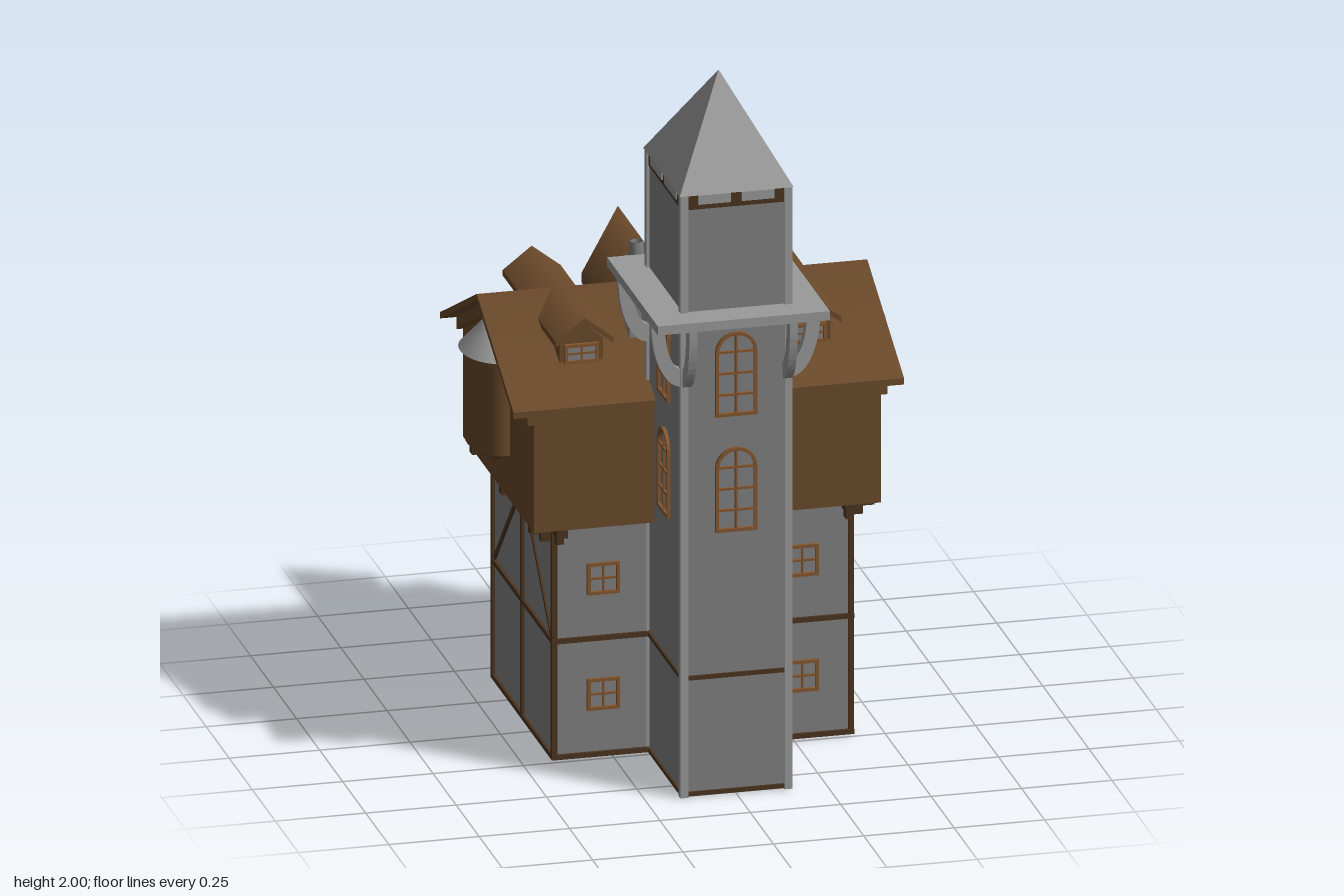
import * as THREE from 'three';

const paint = (color, flatShading = true) => new THREE.MeshStandardMaterial({ color, flatShading });
const stone = paint(0x818181);
const trim = paint(0x9a9a9a);
const smoothTrim = paint(0x9a9a9a, false);
const brown = paint(0x6b4a2b);
const smoothBrown = paint(0x6b4a2b, false);
const frameBrown = paint(0x85572f);
const timber = paint(0x4c3520);

const HZ = -0.1; // depth of the main ridge

export function createModel() {
  const root = new THREE.Group();

  const add = (name, geo, mat, parent = root) => {
    const m = new THREE.Mesh(geo, mat);
    m.name = name;
    parent.add(m);
    return m;
  };
  const box = (name, mat, x0, x1, y0, y1, z0, z1, parent = root) => {
    const m = add(name, new THREE.BoxGeometry(Math.abs(x1 - x0), y1 - y0, Math.abs(z1 - z0)), mat, parent);
    m.position.set((x0 + x1) / 2, (y0 + y1) / 2, (z0 + z1) / 2);
    return m;
  };
  // Square timber between two points
  const beam = (name, a, b, t) => {
    const p = new THREE.Vector3(...a), q = new THREE.Vector3(...b);
    const m = add(name, new THREE.BoxGeometry(t, t, p.distanceTo(q)), timber);
    m.position.copy(p).lerp(q, 0.5);
    m.lookAt(q);
  };
  // Outline in x,y pushed out along z, centred on its depth
  const prism = (name, pts, depth, mat, holes = []) => {
    const s = new THREE.Shape(pts.map(p => new THREE.Vector2(...p)));
    holes.forEach(h => s.holes.push(new THREE.Path(h.map(p => new THREE.Vector2(...p)))));
    const g = new THREE.ExtrudeGeometry(s, { depth, bevelEnabled: false }).translate(0, 0, -depth / 2);
    return add(name, g, mat);
  };
  const chevron = (w, eave, ridge, t) =>
    [[-w, eave], [-w, eave - t], [0, ridge - t], [w, eave - t], [w, eave], [0, ridge]];
  const gable = (w, base, eave, ridge) => [[-w, base], [w, base], [w, eave], [0, ridge], [-w, eave]];

  // Pitched roof whose shading rolls softly over the ridge
  const pitchedRoof = (name, w, eave, ridge, t, depth) => {
    const m = prism(name, chevron(w, eave, ridge, t), depth, smoothBrown);
    const { position, normal } = m.geometry.attributes;
    for (let i = 0; i < position.count; i++) {
      if (Math.abs(position.getX(i)) < 1e-5 && Math.abs(normal.getZ(i)) < 0.5) {
        normal.setXYZ(i, 0, Math.sign(normal.getY(i)), 0);
      }
    }
    return m;
  };

  // Window frame with glazing bars; arched when arch is true
  const windowFrame = (name, w, h, x, y, z, turn, rows, arch = false) => {
    const outline = inset => {
      const a = w / 2 - inset, pts = [[-a, -h / 2 + inset], [a, -h / 2 + inset]];
      if (!arch) return [...pts, [a, h / 2 - inset], [-a, h / 2 - inset]];
      for (let i = 0; i <= 12; i++) {
        const t = Math.PI * i / 12;
        pts.push([a * Math.cos(t), h / 2 - w / 2 + a * Math.sin(t)]);
      }
      return pts;
    };
    const rim = 0.009, frame = prism(name, outline(0), 0.014, frameBrown, [outline(rim)]);
    frame.position.set(x, y, z);
    frame.rotation.y = turn;
    box('glazingBar', frameBrown, -0.003, 0.003, -h / 2 + rim, h / 2 - rim, -0.004, 0.004, frame);
    const straight = arch ? h - w / 2 : h;
    for (let i = 1; i < rows; i++) {
      const by = -h / 2 + straight * i / (arch ? rows - 1 : rows);
      box('glazingBar', frameBrown, -w / 2 + rim, w / 2 - rim, by - 0.003, by + 0.003, -0.004, 0.004, frame);
    }
    return frame;
  };

  // Stone lower house and rear bay
  box('lowerHouse', stone, -0.41, 0.41, 0, 0.68, -0.42, 0.23);
  box('rearBay', stone, -0.075, 0.075, 0, 0.66, -0.62, -0.42);

  // Timber frame: horizontal rails and posts
  for (const y of [0.009, 0.34]) {
    box('houseRail', timber, -0.418, 0.418, y - 0.007, y + 0.007, -0.428, 0.238);
    box('bayRail', timber, -0.082, 0.082, y - 0.007, y + 0.007, -0.627, -0.42);
    box('towerRail', timber, -0.153, 0.153, y - 0.006, y + 0.006, 0.22, 0.598);
  }
  for (const s of [-1, 1]) {
    for (const z of [0.228, HZ, -0.42]) beam('housePost', [s * 0.41, 0.002, z], [s * 0.41, 0.68, z], 0.016);
    for (const z of [-0.43, -0.617]) beam('bayPost', [s * 0.075, 0.002, z], [s * 0.075, 0.66, z], 0.014);
    for (const z of [0.22, -0.41]) beam('sideBrace', [s * 0.41, 0.345, z], [s * 0.41, 0.67, HZ], 0.012);
    for (const z of [-0.43, -0.61]) beam('baySideBrace', [s * 0.075, 0.345, z], [s * 0.075, 0.65, -0.52], 0.01);
    beam('bayBackBrace', [s * 0.07, 0.345, -0.62], [0, 0.65, -0.62], 0.01);
    for (const y of [0.18, 0.51]) {
      windowFrame('frontWindow', 0.09, 0.09, s * 0.275, y, 0.232, 0, 2);
      windowFrame('backWindow', 0.09, 0.09, s * 0.275, y, -0.422, Math.PI, 2);
    }
  }

  // Overhanging upper storey with gabled ends
  const upper = prism('upperStorey', gable(0.385, 0.675, 1.015, 1.205), 0.96, brown);
  const roof = pitchedRoof('mainRoof', 0.4, 1.03, 1.226, 0.018, 1.08);
  for (const m of [upper, roof]) {
    m.rotation.y = Math.PI / 2;
    m.position.z = HZ;
  }
  for (const s of [-1, 1]) {
    const board = prism('gableBoard', chevron(0.385, 1.018, 1.208, 0.035), 0.02, brown);
    board.rotation.y = Math.PI / 2;
    board.position.set(s * 0.488, 0, HZ);

    // Stepped corbels under the overhang
    for (const z of [0.215, HZ, -0.42]) {
      box('sideCorbel', timber, s * 0.4, s * 0.475, 0.65, 0.676, z - 0.016, z + 0.016);
      box('sideCorbelFoot', timber, s * 0.4, s * 0.445, 0.625, 0.65, z - 0.011, z + 0.011);
    }
    for (const [z, d] of [[0.23, 1], [-0.42, -1]]) {
      box('endCorbel', timber, s * 0.385, s * 0.415, 0.65, 0.676, z, z + d * 0.05);
      box('endCorbelFoot', timber, s * 0.39, s * 0.41, 0.625, 0.65, z, z + d * 0.028);
    }

    // Oriel on each gable end
    const oriel = new THREE.Group();
    oriel.name = 'oriel';
    oriel.position.set(s * 0.49, 0, HZ);
    root.add(oriel);
    const body = add('orielBody', new THREE.CylinderGeometry(1, 1, 0.265, 40), smoothBrown, oriel);
    body.scale.set(0.077, 1, 0.125);
    body.position.y = 0.935;
    const foot = add('orielFoot', new THREE.CylinderGeometry(1, 0.02, 0.058, 40), smoothBrown, oriel);
    foot.scale.set(0.077, 1, 0.125);
    foot.position.y = 0.774;
    const cap = add('orielRoof', new THREE.CylinderGeometry(0.3, 1, 0.08, 40), smoothTrim, oriel);
    cap.scale.set(0.096, 1, 0.13);
    cap.position.y = 1.108;

    // Dormer running through the roof, front to back
    const walls = prism('dormerWalls', gable(0.06, 1.06, 1.165, 1.22), 0.5, brown);
    walls.position.set(s * 0.315, 0, HZ);
    const top = pitchedRoof('dormerRoof', 0.08, 1.178, 1.24, 0.016, 0.575);
    top.position.set(s * 0.315, 0, HZ);
    for (const [z, turn] of [[0.153, 0], [-0.353, Math.PI]]) {
      const frame = windowFrame('dormerWindow', 0.095, 0.055, s * 0.315, 1.128, z, turn, 2);
      box('dormerPane', stone, -0.04, 0.04, -0.02, 0.02, -0.006, 0.001, frame);
    }
  }

  // Rear cross gable standing over the bay
  prism('rearGableWall', gable(0.075, 0.66, 1.05, 1.19), 0.475, brown).position.z = -0.3375;
  pitchedRoof('rearGableRoof', 0.1, 1.035, 1.217, 0.028, 0.57).position.z = -0.403;
  box('gableTie', timber, -0.085, 0.085, 1.025, 1.042, -0.612, -0.594);
  beam('kingPost', [0, 1.03, -0.603], [0, 1.19, -0.603], 0.014);
  windowFrame('balconyDoor', 0.1, 0.31, 0, 0.835, -0.577, Math.PI, 3);

  // Balcony: floor, panelled railings, roof posts and supports
  box('balconyFloor', brown, -0.135, 0.135, 0.65, 0.675, -0.68, -0.47);
  for (const s of [-1, 1]) {
    box('sideHandrail', brown, s * 0.115, s * 0.138, 0.86, 0.877, -0.685, -0.48);
    box('sidePanel', brown, s * 0.121, s * 0.126, 0.67, 0.865, -0.67, -0.48);
    for (let i = 0; i < 6; i++) {
      const z = -0.49 - i * 0.035;
      box('sideSlat', brown, s * 0.121, s * 0.134, 0.67, 0.865, z - 0.012, z + 0.012);
    }
    box('cornerPost', brown, s * 0.115, s * 0.137, 0.65, 0.87, -0.684, -0.662);
    box('roofPost', brown, s * 0.07, s * 0.087, 0.67, 1.06, -0.612, -0.595);
    for (const z of [-0.5, -0.55, -0.6, -0.65]) {
      box('balconySupport', timber, s * 0.07, s * 0.125, 0.63, 0.652, z - 0.01, z + 0.01);
      box('balconySupportFoot', timber, s * 0.07, s * 0.1, 0.615, 0.632, z - 0.007, z + 0.007);
    }
  }
  box('backHandrail', brown, -0.138, 0.138, 0.86, 0.877, -0.687, -0.664);
  box('backPanel', brown, -0.12, 0.12, 0.67, 0.865, -0.68, -0.669);

  // Chimney
  const chimney = new THREE.Group();
  chimney.name = 'chimney';
  chimney.position.set(-0.14, 0, 0.063);
  root.add(chimney);
  box('chimneyStack', stone, -0.026, 0.026, 1.1, 1.335, -0.026, 0.026, chimney);
  box('chimneyLip', stone, -0.03, 0.03, 1.335, 1.35, -0.03, 0.03, chimney);
  const pot = [[0.013, 1.34], [0.022, 1.34], [0.019, 1.4], [0.014, 1.4], [0.011, 1.35]];
  add('chimneyPot', new THREE.LatheGeometry(pot.map(p => new THREE.Vector2(...p)), 16),
    new THREE.MeshStandardMaterial({ color: 0x818181, side: THREE.DoubleSide }), chimney);

  // Tower shaft with corner posts, centred on its own depth
  const TZ = 0.405, TX = 0.155, TD = 0.195;
  box('towerShaft', stone, -0.147, 0.147, 0, 1.69, TZ - 0.187, TZ + 0.187);
  box('towerTopBeam', timber, -0.15, 0.15, 1.678, 1.72, TZ - 0.19, TZ + 0.19);
  box('towerPlatform', trim, -0.238, 0.238, 1.36, 1.386, TZ - 0.275, TZ + 0.275);
  const spire = add('towerSpire', new THREE.ConeGeometry(Math.SQRT2, 0.28, 4).rotateY(Math.PI / 4), trim);
  spire.scale.set(TX + 0.003, 1, TD + 0.002);
  spire.position.set(0, 1.86, TZ);

  // Curved bracket outline: a quarter band from shaft to platform
  const band = [];
  for (let i = 0; i <= 12; i++) {
    const t = -Math.PI / 2 * i / 12;
    band.push([0.082 * Math.cos(t), 0.185 * Math.sin(t)]);
  }
  for (let i = 12; i >= 0; i--) {
    const t = -Math.PI / 2 * i / 12;
    band.push([0.045 * Math.cos(t), 0.135 * Math.sin(t)]);
  }
  for (const s of [-1, 1]) for (const d of [-1, 1]) {
    box('towerCornerPost', trim, s * (TX - 0.022), s * TX, 0, 1.72, TZ + d * (TD - 0.022), TZ + d * TD);
    const side = prism('sideBracket', band, 0.022, trim);
    side.position.set(s * (TX - 0.003), 1.361, TZ + d * (TD - 0.016));
    side.rotation.y = s > 0 ? 0 : Math.PI;
    const end = prism('endBracket', band, 0.022, trim);
    end.position.set(s * (TX - 0.016), 1.361, TZ + d * (TD - 0.003));
    end.rotation.y = -d * Math.PI / 2;
    // Pale blocks set in the dark band below the spire
    box('endFriezeBlock', trim, s * 0.015, s * 0.105, 1.692, 1.718, TZ + d * 0.18, TZ + d * 0.194);
    box('sideFriezeBlock', trim, s * 0.14, s * 0.154, 1.692, 1.718, TZ + d * 0.015, TZ + d * 0.14);
  }

  // Arched tower windows on the front and both sides
  for (const y of [0.87, 1.2]) {
    windowFrame('towerFrontWindow', 0.115, 0.24, 0, y, TZ + 0.19, 0, 4, true);
    for (const s of [-1, 1]) windowFrame('towerSideWindow', 0.115, 0.24, s * 0.15, y, TZ, s * Math.PI / 2, 4, true);
  }
  return root;
}
